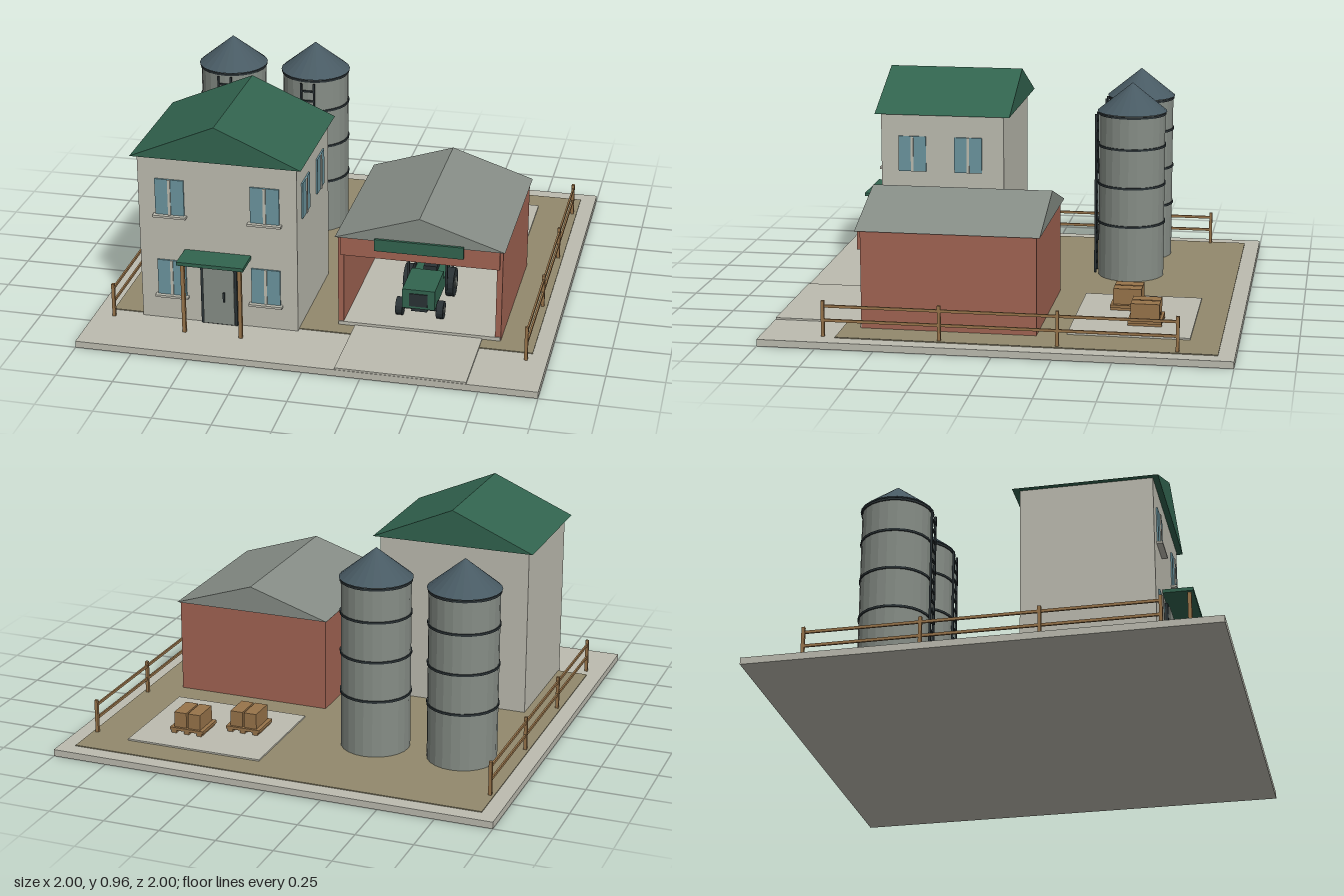
import * as THREE from 'three';

const mat = (name, color) => {
  const m = new THREE.MeshStandardMaterial({ color });
  m.name = name;
  return m;
};

export function createModel() {
  const plaster = mat('plaster', 0xbdbcb0);
  const dirt = mat('dirt', 0x92896d);
  const brick = mat('barnRed', 0xa26453);
  const green = mat('green', 0x32644f);
  const slate = mat('slate', 0x485a63);
  const grey = mat('metalGrey', 0x868d86);
  const glass = mat('glass', 0x6b959f);
  const wood = mat('wood', 0x98744a);
  const dark = mat('darkMetal', 0x2a3235);

  const model = new THREE.Group();
  model.name = 'farmyard';

  const group = (name, parent = model) => {
    const g = new THREE.Group();
    g.name = name;
    parent.add(g);
    return g;
  };
  const add = (parent, name, geo, material) => {
    const m = new THREE.Mesh(geo, material);
    m.name = name;
    parent.add(m);
    return m;
  };
  // Box given by its extents
  const box = (parent, name, material, x0, x1, y0, y1, z0, z1) => {
    const m = add(parent, name, new THREE.BoxGeometry(x1 - x0, y1 - y0, z1 - z0), material);
    m.position.set((x0 + x1) / 2, (y0 + y1) / 2, (z0 + z1) / 2);
    return m;
  };
  // Faceted cylinder or cone
  const tube = (parent, name, material, rTop, rBottom, height, sides, x, y, z) => {
    const geo = new THREE.CylinderGeometry(rTop, rBottom, height, sides).toNonIndexed();
    geo.computeVertexNormals();
    const m = add(parent, name, geo, material);
    m.position.set(x, y, z);
    return m;
  };
  // Triangular roof prism with its ridge along z
  const gableRoof = (parent, material, x0, x1, eave, peak, z0, z1) => {
    const s = new THREE.Shape([
      new THREE.Vector2(x0, eave), new THREE.Vector2(x1, eave), new THREE.Vector2((x0 + x1) / 2, peak),
    ]);
    const geo = new THREE.ExtrudeGeometry(s, { depth: z1 - z0, bevelEnabled: false });
    add(parent, 'roof', geo, material).position.z = z0;
  };

  // Ground
  const ground = group('ground');
  box(ground, 'baseSlab', plaster, -1, 1, 0, 0.03, -1, 1);
  box(ground, 'dirtYard', dirt, -0.93, 0.93, 0.03, 0.034, -0.93, 0.68);
  box(ground, 'driveway', plaster, 0.14, 0.7, 0.03, 0.038, 0.6, 0.998);
  box(ground, 'storagePad', plaster, 0.115, 0.74, 0.03, 0.041, -0.8, -0.28);

  // House
  const house = group('house');
  box(house, 'walls', plaster, -0.79, -0.09, 0.03, 0.8, 0.13, 0.7);
  gableRoof(house, green, -0.815, -0.065, 0.797, 0.96, 0.1, 0.725);
  const makeWindow = (x, y, z, turn, sill) => {
    const w = group('window', house);
    w.position.set(x, y, z);
    w.rotation.y = turn;
    box(w, 'pane', glass, -0.064, 0.064, -0.082, 0.082, 0, 0.007);
    box(w, 'mullion', plaster, -0.006, 0.006, -0.082, 0.082, 0.007, 0.012);
    if (sill) box(w, 'sill', plaster, -0.074, 0.074, -0.092, -0.082, 0, 0.025);
  };
  for (const y of [0.23, 0.612])
    for (const x of [-0.65, -0.23]) makeWindow(x, y, 0.7, 0, true);
  for (const z of [0.555, 0.295]) makeWindow(-0.09, 0.612, z, Math.PI / 2, false);

  // Door and porch
  box(house, 'doorFrame', dark, -0.52, -0.358, 0.03, 0.34, 0.7, 0.712);
  box(house, 'door', grey, -0.508, -0.37, 0.034, 0.328, 0.712, 0.718);
  box(house, 'doorHandle', dark, -0.418, -0.41, 0.145, 0.19, 0.718, 0.727);
  box(house, 'porchRoof', green, -0.59, -0.295, 0.354, 0.37, 0.7, 0.83);
  for (const x of [-0.568, -0.316])
    box(house, 'porchPost', wood, x - 0.008, x + 0.008, 0.03, 0.354, 0.803, 0.819);

  // Barn with an open front
  const barn = group('barn');
  box(barn, 'floor', plaster, 0.067, 0.778, 0.03, 0.05, -0.15, 0.605);
  box(barn, 'rightWall', brick, 0.065, 0.09, 0.03, 0.46, -0.155, 0.6);
  box(barn, 'leftWall', brick, 0.755, 0.78, 0.03, 0.46, -0.155, 0.6);
  box(barn, 'backWall', brick, 0.09, 0.755, 0.03, 0.46, -0.155, -0.13);
  box(barn, 'lintel', brick, 0.077, 0.768, 0.375, 0.46, 0.59, 0.615);
  gableRoof(barn, grey, 0.055, 0.79, 0.46, 0.58, -0.17, 0.622);
  box(barn, 'signBoard', green, 0.23, 0.615, 0.418, 0.472, 0.615, 0.634);

  // Tractor
  const tractor = group('tractor');
  tractor.position.set(0.405, 0.05, 0);
  box(tractor, 'chassis', dark, -0.035, 0.035, 0.035, 0.07, 0.18, 0.51);
  box(tractor, 'hood', green, -0.072, 0.072, 0.058, 0.148, 0.32, 0.53);
  box(tractor, 'rearBody', green, -0.072, 0.072, 0.058, 0.11, 0.17, 0.32);
  box(tractor, 'seat', dark, -0.03, 0.03, 0.11, 0.135, 0.2, 0.26);
  box(tractor, 'grille', dark, -0.04, 0.04, 0.07, 0.13, 0.53, 0.534);
  box(tractor, 'canopy', grey, -0.1, 0.1, 0.225, 0.236, 0.15, 0.34);
  for (const s of [-1, 1]) {
    for (const z of [0.165, 0.325])
      box(tractor, 'canopyPost', dark, s * 0.085 - 0.005, s * 0.085 + 0.005, 0.06, 0.225, z - 0.005, z + 0.005);
    for (const [r, z, w, x] of [[0.065, 0.25, 0.036, 0.095], [0.04, 0.48, 0.03, 0.09]]) {
      tube(tractor, 'wheel', dark, r, r, w, 16, s * x, r, z).rotation.z = Math.PI / 2;
      tube(tractor, 'hub', grey, r * 0.4, r * 0.4, w + 0.008, 12, s * x, r, z).rotation.z = Math.PI / 2;
    }
  }
  for (const z of [0.25, 0.48])
    tube(tractor, 'axle', dark, 0.01, 0.01, 0.18, 8, 0, z < 0.4 ? 0.065 : 0.04, z).rotation.z = Math.PI / 2;

  // Silos with hoops and a front ladder
  for (const x of [-0.68, -0.283]) {
    const silo = group('silo');
    silo.position.set(x, 0, -0.437);
    tube(silo, 'body', grey, 0.152, 0.152, 0.775, 24, 0, 0.4175, 0);
    tube(silo, 'coneRoof', slate, 0, 0.16, 0.13, 24, 0, 0.872, 0);
    for (const y of [0.29, 0.47, 0.65, 0.798])
      tube(silo, 'hoop', dark, 0.157, 0.157, 0.01, 24, 0, y, 0);
    for (const s of [-1, 1])
      box(silo, 'ladderRail', dark, s * 0.03 - 0.004, s * 0.03 + 0.004, 0.04, 0.79, 0.158, 0.168);
    for (let i = 0; i < 15; i++) {
      const y = 0.08 + i * 0.048;
      box(silo, 'ladderRung', dark, -0.03, 0.03, y - 0.004, y + 0.004, 0.16, 0.167);
    }
  }

  // Side fences
  for (const x of [-0.912, 0.909]) {
    const fence = group('fence');
    for (const z of [0.735, 0.237, -0.262, -0.762])
      box(fence, 'post', wood, x - 0.007, x + 0.007, 0.03, 0.185, z - 0.007, z + 0.007);
    for (const y of [0.1, 0.162])
      box(fence, 'rail', wood, x - 0.004, x + 0.004, y - 0.006, y + 0.006, -0.762, 0.735);
  }

  // Pallets, each with two crates
  for (const [x, z] of [[0.296, -0.492], [0.521, -0.593]]) {
    const pallet = group('pallet');
    pallet.position.set(x, 0, z);
    box(pallet, 'deck', wood, -0.08, 0.08, 0.053, 0.066, -0.073, 0.073);
    for (const r of [-0.06, 0, 0.06])
      box(pallet, 'runner', wood, r - 0.012, r + 0.012, 0.041, 0.053, -0.073, 0.073);
    for (const s of [-1, 1])
      box(pallet, 'crate', wood, s * 0.033 - 0.029, s * 0.033 + 0.029, 0.066, 0.136, -0.062, 0.062);
  }

  return model;
}
